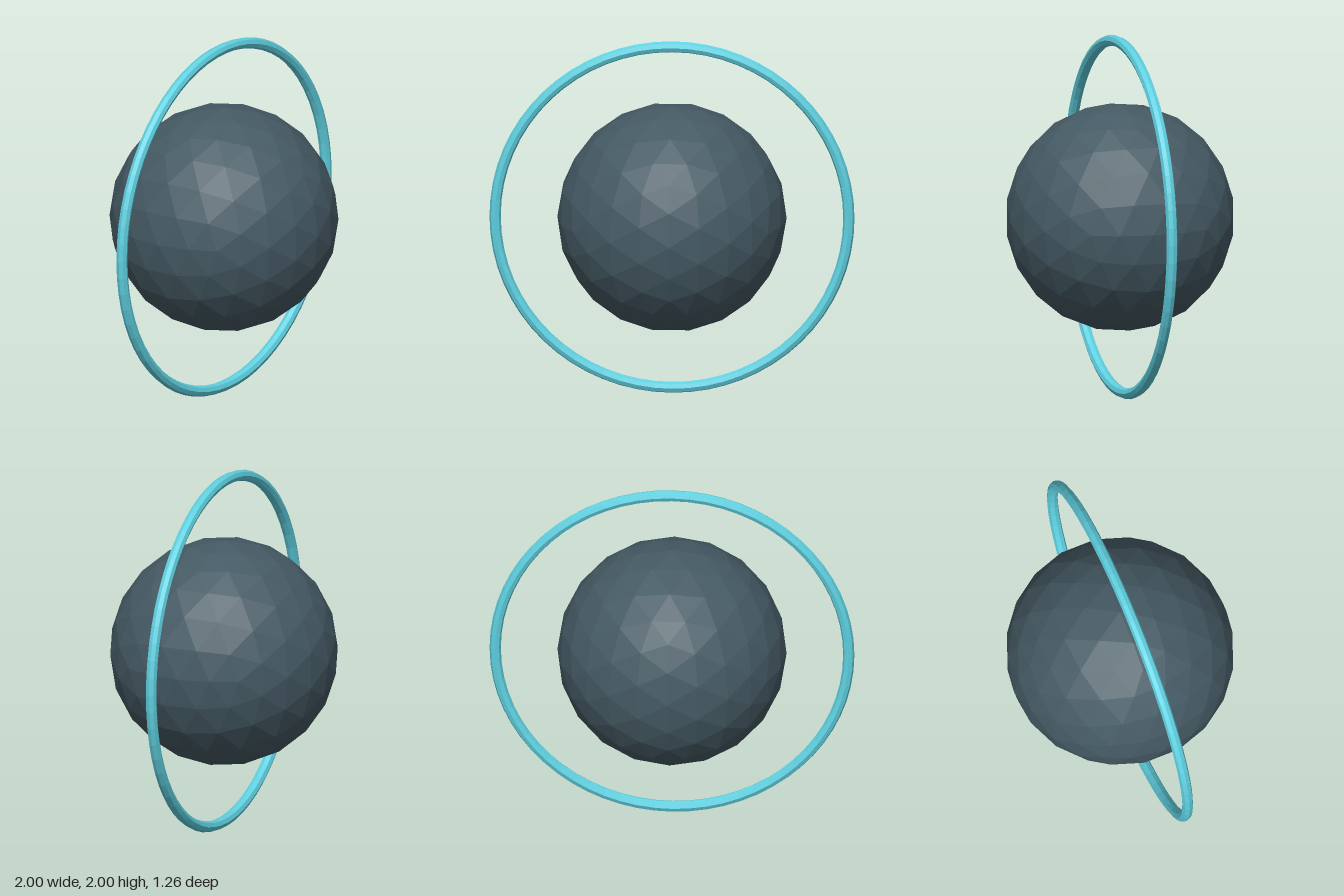
import * as THREE from 'three';

const CENTER_Y = 1;

function addPart(group, name, geometry, color) {
  const material = new THREE.MeshStandardMaterial({ color, flatShading: true });
  const mesh = new THREE.Mesh(geometry, material);
  mesh.name = name;
  mesh.position.y = CENTER_Y;
  group.add(mesh);
}

export function createModel() {
  const model = new THREE.Group();
  model.name = 'ringedSphere';

  // Faceted core
  addPart(model, 'core', new THREE.IcosahedronGeometry(0.628, 3), 0x455a64);

  // Thin upright ring, eight-sided in section
  addPart(model, 'ring', new THREE.TorusGeometry(0.969, 0.031, 8, 64), 0x5fd0e0);

  return model;
}
